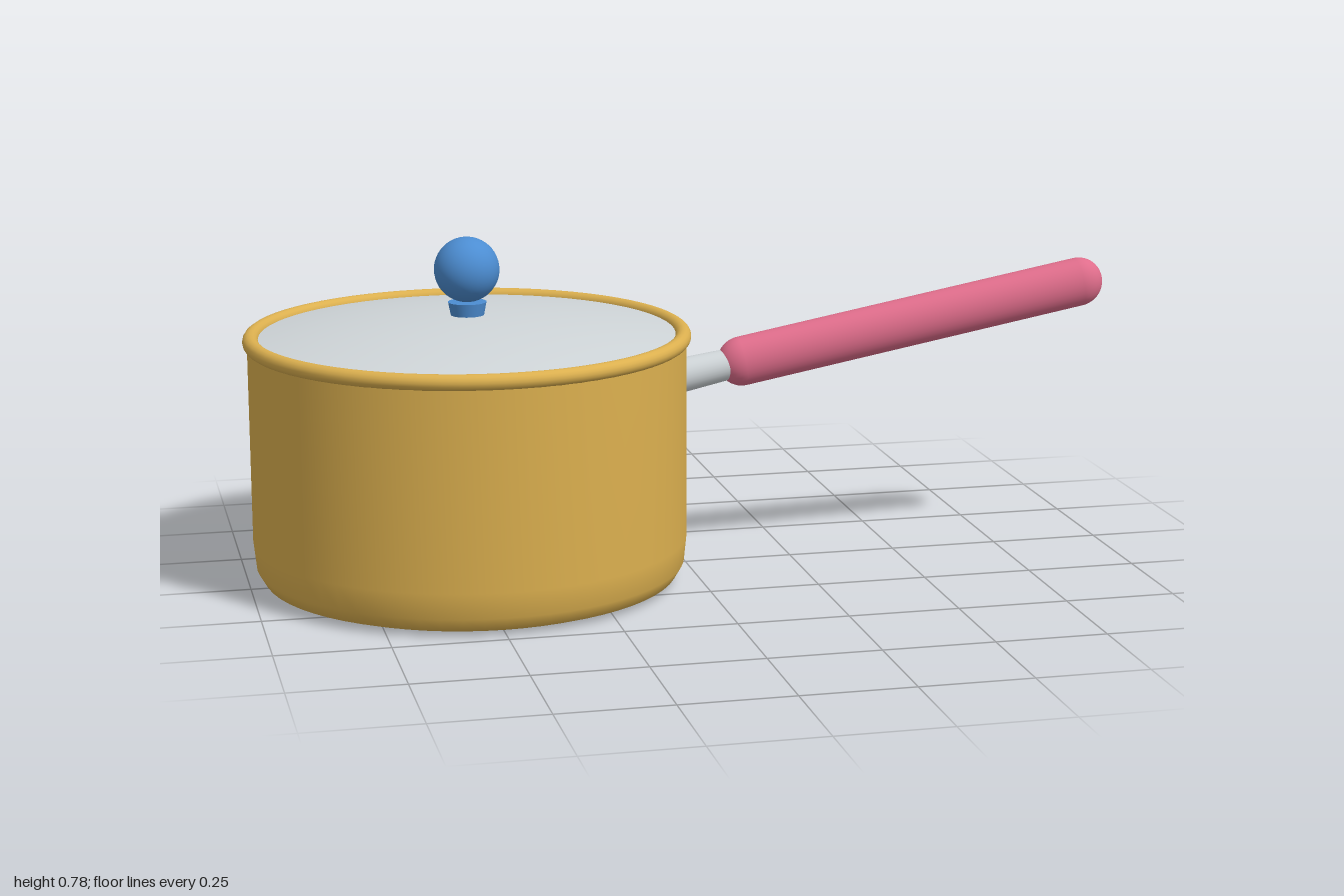
import * as THREE from 'three';

const material = (name, color) => {
  const m = new THREE.MeshStandardMaterial({ color });
  m.name = name;
  return m;
};

const lathe = (points, segments = 64) =>
  new THREE.LatheGeometry(points.map(([r, y]) => new THREE.Vector2(r, y)), segments);

export function createModel() {
  const gold = material('gold enamel', 0xdcb04f);
  const steel = material('steel', 0xcfd5d8);
  const pink = material('pink grip', 0xdf6d8b);
  const blue = material('blue knob', 0x4c8dd2);

  const model = new THREE.Group();
  model.name = 'saucepan';
  const pot = new THREE.Group();
  pot.name = 'pot';
  pot.position.x = -0.5;
  model.add(pot);

  const add = (parent, name, geometry, mat) => {
    const mesh = new THREE.Mesh(geometry, mat);
    mesh.name = name;
    parent.add(mesh);
    return mesh;
  };

  // Pot: flat base, rounded lower edge, straight wall and hollow inside
  add(pot, 'base', new THREE.CircleGeometry(0.43, 64).rotateX(Math.PI / 2), gold);
  add(pot, 'wall', lathe([[0.43, 0], [0.467, 0.013], [0.484, 0.042], [0.49, 0.1], [0.49, 0.557]]), gold);
  add(pot, 'innerWall', lathe([[0.468, 0.557], [0.468, 0.1], [0.43, 0.025], [0, 0.025]]), gold);
  add(pot, 'rim', new THREE.TorusGeometry(0.4825, 0.0178, 16, 72).rotateX(Math.PI / 2), gold)
    .position.y = 0.557;

  // Lid: shallow dome tucked inside the rim
  const dome = [];
  for (let i = 0; i <= 8; i++) {
    const r = 0.472 * (1 - i / 8);
    dome.push([r, 0.606 - 0.205 * r * r]);
  }
  add(pot, 'lid', lathe(dome), steel);
  add(pot, 'lidUnderside', new THREE.CircleGeometry(0.472, 64).rotateX(Math.PI / 2), steel)
    .position.y = 0.558;

  // Knob on a short tapered stem
  add(pot, 'knobStem', new THREE.CylinderGeometry(0.043, 0.036, 0.036, 32), blue).position.y = 0.617;
  add(pot, 'knob', new THREE.SphereGeometry(0.073, 32, 24), blue).position.y = 0.708;

  // Handle: local +y runs outward along the tilted grip
  const handle = new THREE.Group();
  handle.name = 'handle';
  handle.position.set(0, 0.444, 0);
  handle.rotation.z = -Math.PI / 2 + Math.atan2(0.15, 0.81);
  model.add(handle);
  add(handle, 'ferrule', new THREE.CylinderGeometry(0.034, 0.04, 0.17, 32), steel).position.y = 0.06;
  const grip = add(handle, 'grip', new THREE.CapsuleGeometry(0.057, 0.824, 12, 32), pink);
  grip.position.y = 0.547;
  grip.scale.z = 0.047 / 0.057;

  return model;
}
